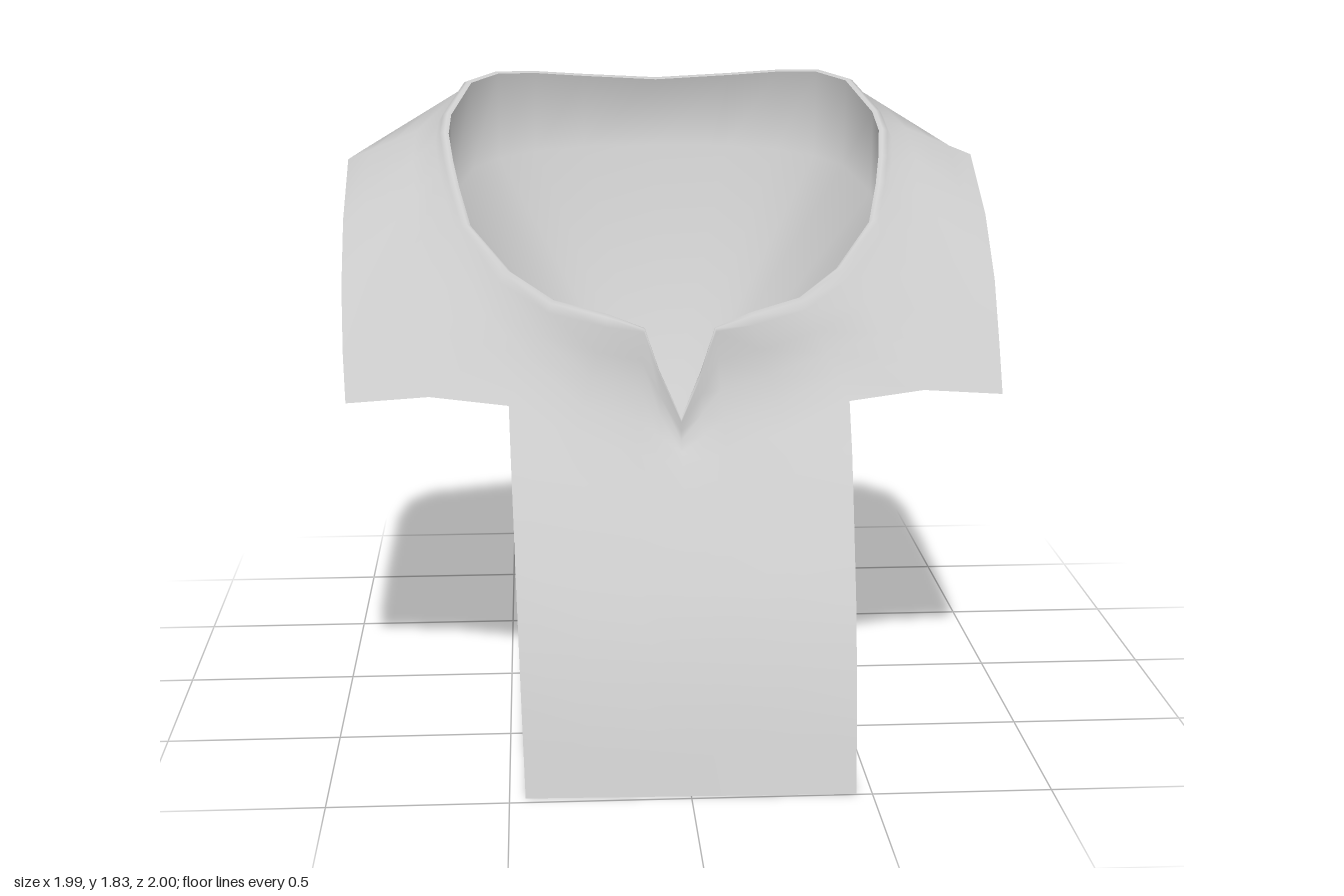
import * as THREE from 'three';
import { mergeGeometries, mergeVertices } from 'three/addons/utils/BufferGeometryUtils.js';

// Half outline from back centre, round the +x side, to front centre: neckline points
const NECK = [
  [0, 1.8, -0.78], [0.24, 1.815, -0.757], [0.4, 1.83, -0.71], [0.52, 1.835, -0.645],
  [0.605, 1.815, -0.555], [0.665, 1.735, -0.36], [0.67, 1.69, -0.25], [0.655, 1.62, -0.15],
  [0.635, 1.55, -0.06], [0.6, 1.45, 0.05], [0.48, 1.34, 0.22], [0.35, 1.275, 0.345],
  [0.2, 1.25, 0.43], [0.1, 1.22, 0.475], [0.06, 1.1, 0.49], [0, 0.97, 0.535],
];
// Matching points on the hem; the last five form the top of the front panel
const HEM = [
  [0, 1.46, -1], [0.42, 1.46, -0.99], [0.65, 1.46, -0.96], [0.88, 1.43, -0.9],
  [0.965, 1.59, -0.64], [0.995, 1.59, -0.42], [0.995, 1.44, -0.15], [0.99, 1.27, 0.05],
  [0.98, 1.1, 0.2], [0.965, 0.98, 0.34], [0.72, 1.01, 0.4], [0.49, 1.0, 0.48],
  [0.3, 0.93, 0.545], [0.13, 0.88, 0.58], [0.06, 0.86, 0.59], [0, 0.85, 0.6],
];
const CORNER = 11;

const toVec = (p) => new THREE.Vector3(...p);
const mirrorLoop = (half) => [
  ...half,
  ...half.slice(1, -1).reverse().map((p) => new THREE.Vector3(-p.x, p.y, p.z)),
];

// Skin between rows of points of equal length
function skin(rows, closed) {
  const n = rows[0].length;
  const index = [];
  for (let r = 0; r < rows.length - 1; r++) {
    for (let j = 0; j < (closed ? n : n - 1); j++) {
      const k = (j + 1) % n;
      const a = r * n + j, an = r * n + k, b = a + n, bn = an + n;
      index.push(a, an, b, an, bn, b);
    }
  }
  const g = new THREE.BufferGeometry().setFromPoints(rows.flat());
  g.setIndex(index);
  return g;
}

// Front panel depth at a given height
function panelZ(y) {
  const pts = [[0, 1], [0.25, 0.92], [0.48, 0.82], [0.85, 0.6], [1.01, 0.48]];
  for (let i = 1; i < pts.length; i++) {
    const [y0, z0] = pts[i - 1], [y1, z1] = pts[i];
    if (y <= y1 || i === pts.length - 1) return z0 + (z1 - z0) * (y - y0) / (y1 - y0);
  }
}

export function createModel() {
  const model = new THREE.Group();
  const cloth = new THREE.MeshStandardMaterial({ color: 0xcccccc, side: THREE.DoubleSide });
  cloth.name = 'light grey cloth';

  const neck = NECK.map(toVec);
  const hem = HEM.map(toVec);

  // Neckline pushed outward to make the rolled lip, fading towards the notch
  const lip = (out, up) => neck.map((p, i) => {
    const s = i > 12 ? 0.35 : 1;
    const d = new THREE.Vector3(p.x, 0, p.z + 0.15).normalize();
    return p.clone().addScaledVector(d, out * s).add(new THREE.Vector3(0, up * s, 0));
  });
  const base = lip(0.043, -0.025);
  // Slope towards the hem, hollow at the front below the neckline
  const blend = (t) => base.map((p, i) => {
    const q = p.clone().lerp(hem[i], t);
    const front = THREE.MathUtils.smoothstep(p.z, 0.25, 0.5);
    q.z -= 0.03 * front * Math.sin(Math.PI * t);
    return q;
  });

  // Shoulders: lip, slope, hem
  const shoulderRows = [
    neck, lip(0.012, 0.006), lip(0.028, 0), base,
    blend(0.25), blend(0.5), blend(0.75), hem,
  ].map(mirrorLoop);
  const shoulders = skin(shoulderRows, true);

  // Front panel hanging from the hem's front columns, slightly twisted
  const loop = mirrorLoop(hem);
  const top = loop.slice(CORNER, loop.length - CORNER + 1);
  const panelRows = [top];
  for (let i = 1; i <= 8; i++) {
    const s = i / 8;
    panelRows.push(top.map((p) => {
      const y = p.y * (1 - s) + 0.01 * s;
      const z = panelZ(y) - 0.012 * s * (1 - p.x / 0.49);
      return new THREE.Vector3(p.x * (1 - 0.07 * s), y, z);
    }));
  }
  const garment = mergeVertices(mergeGeometries([shoulders, skin(panelRows, false)]), 1e-4);
  garment.computeVertexNormals();
  const garmentMesh = new THREE.Mesh(garment, cloth);
  garmentMesh.name = 'shouldersAndFrontPanel';
  model.add(garmentMesh);

  // Inner lining: upright wall below the neckline, then a fan down to one point
  const ring = neck.map((p) => {
    const u = 0.535 - p.z;
    const back = THREE.MathUtils.clamp((-p.z - 0.4) / 0.35, 0, 1);
    return new THREE.Vector3(p.x, 0.94 + 0.853 * u - 0.282 * u * u, p.z - 0.06 * back);
  });
  const apex = new THREE.Vector3(0, 0.635, -0.34);
  const rings = [neck, ring].map(mirrorLoop);
  const n = rings[0].length;
  const lining = new THREE.BufferGeometry().setFromPoints([...rings.flat(), apex]);
  const index = [];
  for (let j = 0; j < n; j++) {
    const k = (j + 1) % n;
    index.push(j, n + j, k, k, n + j, n + k, n + j, 2 * n, n + k);
  }
  lining.setIndex(index);
  lining.computeVertexNormals();
  const liningMesh = new THREE.Mesh(lining, cloth);
  liningMesh.name = 'neckLining';
  model.add(liningMesh);

  return model;
}
